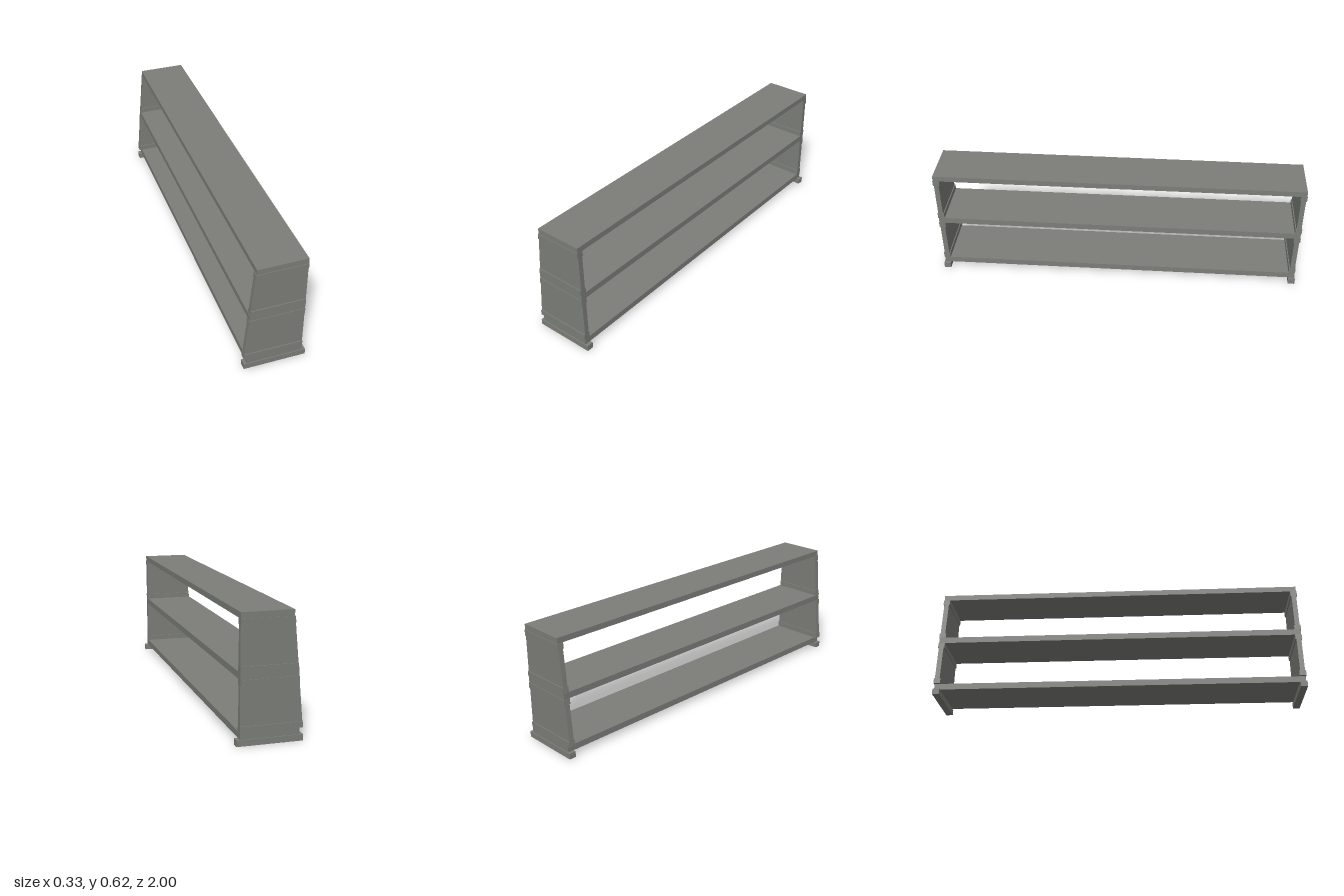
import * as THREE from 'three';

const BACK = 0.145;
// sloping edge of the end panels
const slope = (y) => -0.163 + (y - 0.063) * 0.0907;

export function createModel() {
  const model = new THREE.Group();
  model.name = 'shelfUnit';
  const grey = new THREE.MeshStandardMaterial({ color: 0x7c7e79 });
  grey.name = 'grey';

  function box(name, x0, x1, y0, y1, z0, z1) {
    const mesh = new THREE.Mesh(new THREE.BoxGeometry(x1 - x0, y1 - y0, z1 - z0), grey);
    mesh.position.set((x0 + x1) / 2, (y0 + y1) / 2, (z0 + z1) / 2);
    mesh.name = name;
    model.add(mesh);
  }

  // upright slab with one sloping edge
  function slab(name, y0, y1, z0, z1) {
    const shape = new THREE.Shape([
      new THREE.Vector2(slope(y0), y0), new THREE.Vector2(BACK, y0),
      new THREE.Vector2(BACK, y1), new THREE.Vector2(slope(y1), y1),
    ]);
    const geo = new THREE.ExtrudeGeometry(shape, { depth: z1 - z0, bevelEnabled: false });
    const mesh = new THREE.Mesh(geo, grey);
    mesh.position.z = z0;
    mesh.name = name;
    model.add(mesh);
  }

  // three long shelves
  box('bottomShelf', -0.147, BACK, 0.031, 0.064, -0.995, 0.995);
  box('middleShelf', -0.139, BACK, 0.313, 0.346, -0.995, 0.995);
  box('topShelf', -0.112, BACK, 0.595, 0.625, -0.995, 0.995);

  for (const s of [-1, 1]) {
    const span = (a, b) => (s > 0 ? [a, b] : [-b, -a]);
    // foot, wider than the shelves
    box('foot', -0.163, 0.163, 0, 0.031, ...span(0.963, 1));
    // end panels between the shelves
    for (const [y0, y1] of [[0.093, 0.284], [0.375, 0.565]]) {
      slab('endPanel', y0, y1, ...span(0.967, 0.993));
    }
    // thicker rails where panels meet shelves
    for (const [y0, y1] of [[0.064, 0.093], [0.284, 0.313], [0.346, 0.375], [0.565, 0.595]]) {
      slab('rail', y0, y1, ...span(0.962, 0.998));
    }
  }
  return model;
}
